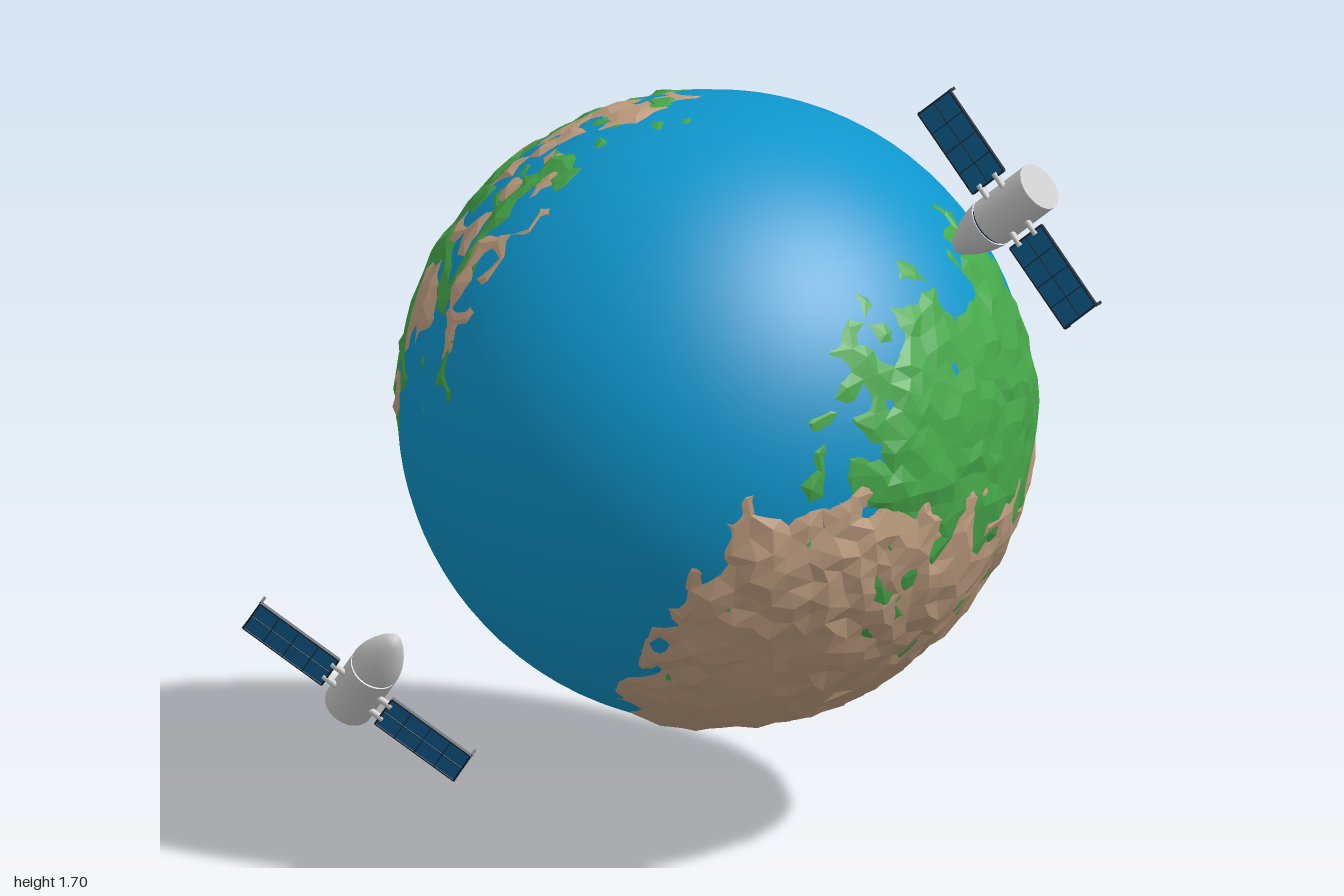
import * as THREE from 'three';
import { mergeVertices } from 'three/addons/utils/BufferGeometryUtils.js';

const V = (x, y, z) => new THREE.Vector3(x, y, z);
const mat = (color, opts = {}) => new THREE.MeshStandardMaterial({ color, ...opts });
const clamp = THREE.MathUtils.clamp;

const OCEAN_R = 0.655;
const ocean = mat(0x0e96cc), grass = mat(0x46a84a, { flatShading: true }), soil = mat(0xc4a283, { flatShading: true });
const metal = mat(0xcccccc), cell = mat(0x0f6296), frame = mat(0x1c2c3c);

function addMesh(parent, name, geometry, material, x = 0, y = 0, z = 0) {
  const mesh = new THREE.Mesh(geometry, material);
  mesh.name = name;
  mesh.position.set(x, y, z);
  parent.add(mesh);
  return mesh;
}

// Seeded random generator
function seeded(seed) {
  return () => {
    seed = (seed * 1664525 + 1013904223) % 4294967296;
    return seed / 4294967296;
  };
}

// Smooth patches, roughly -1 to 1
function patches(d, s) {
  const wave = (f, p) => Math.sin(f * d.x + p + 2 * Math.sin(f * 0.6 * d.y + p * 2))
    * Math.cos(f * d.z - p + 2 * Math.sin(f * 0.5 * d.x + f * 0.4 * d.y));
  return 0.6 * wave(8, s) + 0.5 * wave(15, s * 1.7 + 1);
}

// Continent centres
const south = V(0.82, -0.56, -0.1).normalize();
const north = V(-0.85, 0.52, -0.02).normalize();
const meadow = V(0.99, -0.08, -0.02).normalize();
const edge = (value, limit, width) => clamp((value - limit) / width, -1, 1);

// Height of bare soil over the sea
function soilHeight(d, rnd) {
  const a = Math.min(edge(d.dot(south), 0.42, 0.1), edge(-d.y, 0.06, 0.12));
  const b = edge(d.dot(north), 0.58, 0.16);
  const hA = 0.001 + 0.009 * a + 0.007 * rnd + 0.002 * patches(d, 2);
  const hB = -0.006 + 0.006 * b + 0.006 * rnd + 0.008 * patches(d, 2);
  return a > -1 ? hA : b > -1 ? hB : -0.03;
}

// Height of grassland over the sea
function grassHeight(d, rnd) {
  const a = edge(d.dot(meadow), 0.79, 0.17);
  const inland = edge(d.dot(south), 0.46, 0.1);
  const b = edge(d.dot(north), 0.58, 0.16);
  const hA = 0.001 + 0.008 * Math.max(a, inland > 0 ? -0.3 : -1) + 0.005 * rnd + 0.007 * patches(d, 5);
  const hB = -0.005 + 0.006 * b + 0.006 * rnd + 0.008 * patches(d, 6);
  return a > -1 || inland > 0 ? hA : b > -1 ? hB : -0.03;
}

// Faceted shell that breaks through the sea where there is land
function landShell(height, seed, detail) {
  let geo = new THREE.IcosahedronGeometry(1, detail);
  geo.deleteAttribute('normal');
  geo.deleteAttribute('uv');
  geo = mergeVertices(geo, 1e-4);
  const pos = geo.attributes.position, rnd = seeded(seed), d = V(0, 0, 0);
  for (let i = 0; i < pos.count; i++) {
    d.fromBufferAttribute(pos, i).normalize();
    // Shift each point sideways so the facets are irregular
    d.add(V(rnd() - 0.5, rnd() - 0.5, rnd() - 0.5).multiplyScalar(0.035)).normalize();
    const r = OCEAN_R + height(d, rnd() * 2 - 1);
    pos.setXYZ(i, d.x * r, d.y * r, d.z * r);
  }
  geo.computeVertexNormals();
  return geo;
}

function createPlanet() {
  const g = new THREE.Group();
  g.name = 'planet';
  g.position.set(0.05, 0.918, 0);
  addMesh(g, 'ocean', new THREE.SphereGeometry(OCEAN_R, 80, 48), ocean);
  addMesh(g, 'soil', landShell(soilHeight, 11, 17), soil);
  addMesh(g, 'grassland', landShell(grassHeight, 47, 18), grass);
  return g;
}

// Satellite: nose along +y, panels along x, panel plane in front of the axis
function createSatellite(name, position, nose, panelAxis) {
  const g = new THREE.Group();
  g.name = name;
  const R = 0.053, planeZ = 0.026;

  addMesh(g, 'body', new THREE.CylinderGeometry(R, R, 0.145, 28), metal, 0, -0.0075, 0);
  addMesh(g, 'seam', new THREE.CylinderGeometry(R - 0.004, R - 0.004, 0.008, 28), frame, 0, 0.067, 0);
  const profile = [[0.0, 0.07], [R, 0.07], [R, 0.078], [0.049, 0.1], [0.041, 0.125],
    [0.03, 0.15], [0.019, 0.169], [0.01, 0.178], [0, 0.181]];
  const noseGeo = new THREE.LatheGeometry(profile.slice(1).map(p => new THREE.Vector2(...p)), 28);
  addMesh(g, 'nose', noseGeo, metal);

  const length = 0.2, width = 0.096;
  for (const s of [-1, 1]) {
    const wing = new THREE.Group();
    wing.name = s > 0 ? 'firstWing' : 'secondWing';
    wing.position.set(s * 0.168, 0, planeZ);
    g.add(wing);
    addMesh(wing, 'solarPanel', new THREE.BoxGeometry(length, width, 0.004), cell);
    // Grid bars
    for (let i = 0; i <= 4; i++) {
      const t = i % 4 ? 0.002 : 0.004;
      addMesh(wing, 'crossBar', new THREE.BoxGeometry(t, width, 0.007), frame, (i / 4 - 0.5) * length, 0, 0);
    }
    for (let i = 0; i <= 2; i++) {
      const t = i === 1 ? 0.002 : 0.004;
      addMesh(wing, 'longBar', new THREE.BoxGeometry(length, t, 0.007), frame, 0, (i / 2 - 0.5) * width, 0);
    }
    for (const e of [-1, 1]) {
      // Corner pins at the tip and struts at the root
      addMesh(wing, 'cornerPin', new THREE.BoxGeometry(0.006, 0.006, 0.018), frame,
        s * length / 2, e * width / 2, -0.009);
      const strut = addMesh(wing, 'strut', new THREE.CylinderGeometry(0.007, 0.007, 0.045, 12), metal,
        -s * 0.114, e * 0.024, 0);
      strut.rotation.z = Math.PI / 2;
    }
  }

  const y = nose.clone().normalize();
  const z = panelAxis.clone().cross(y).normalize();
  const x = y.clone().cross(z);
  g.quaternion.setFromRotationMatrix(new THREE.Matrix4().makeBasis(x, y, z));
  g.position.copy(position);
  return g;
}

export function createModel() {
  const model = new THREE.Group();
  model.name = 'planetWithSatellites';
  model.add(
    createPlanet(),
    createSatellite('upperSatellite', V(0.78, 1.471, 0.055), V(-0.77, -0.64, -0.03), V(-0.64, 0.77, 0)),
    createSatellite('lowerSatellite', V(-0.754, 0.214, 0.036), V(0.15, 0.18, 0.085), V(0.417, -0.32, -0.13)),
  );
  return model;
}
